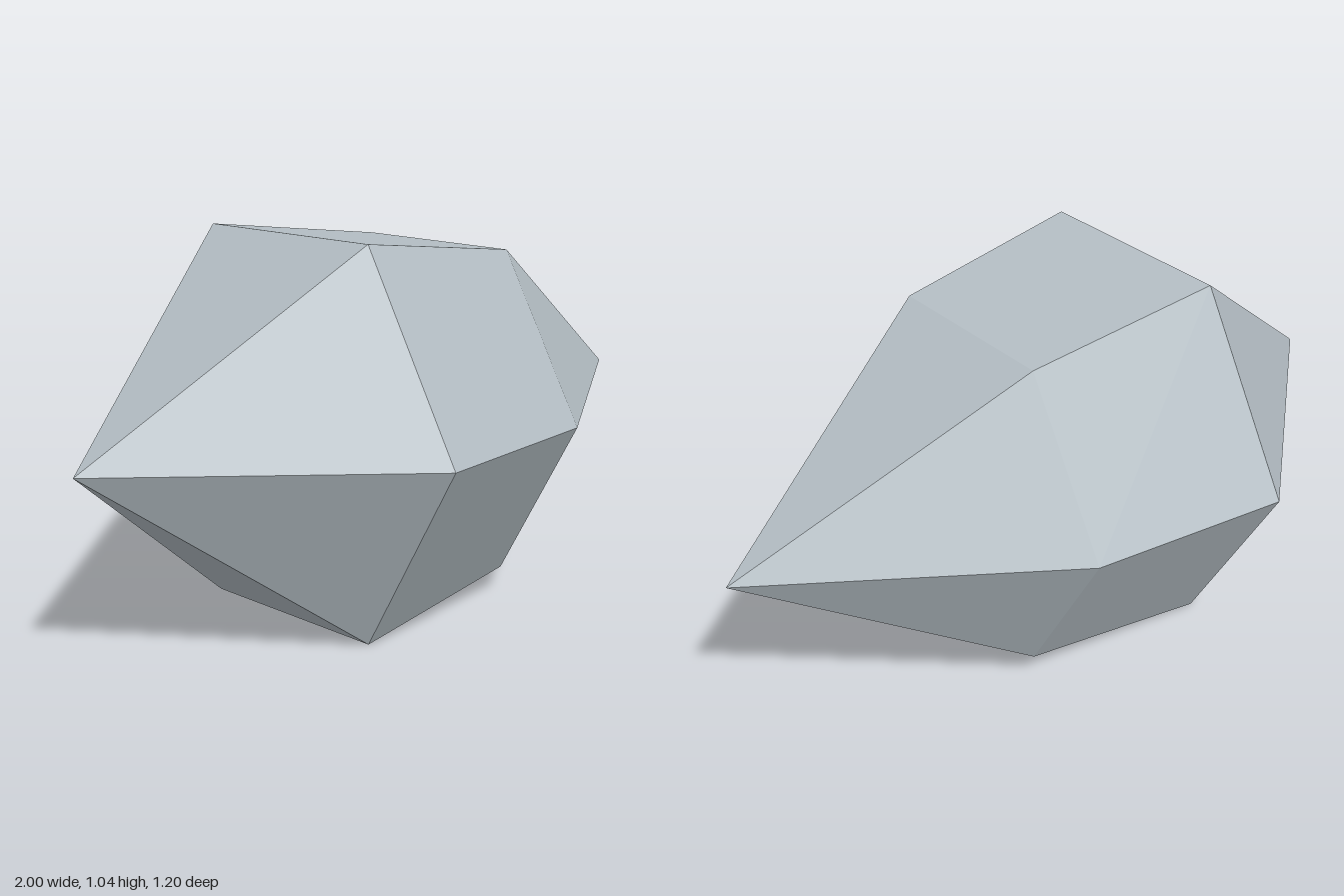
import * as THREE from 'three';

export function createModel() {
  const group = new THREE.Group();
  group.name = 'crystal';

  const paleGrey = new THREE.MeshStandardMaterial({ color: 0xb4bec4, flatShading: true });
  paleGrey.name = 'paleGrey';

  // Six-sided double-pointed body: radius against position along its length
  const profile = [[0, -1], [0.6, -0.32], [0.52, 0.24], [0, 1]]
    .map(([r, t]) => new THREE.Vector2(r, t));
  const geometry = new THREE.LatheGeometry(profile, 6);

  // Lay the long axis along x, lifted so the lower facet edge rests on the ground
  geometry.rotateZ(-Math.PI / 2);
  geometry.translate(0, 0.6 * Math.cos(Math.PI / 6), 0);

  const body = new THREE.Mesh(geometry, paleGrey);
  body.name = 'crystalBody';
  group.add(body);
  return group;
}
